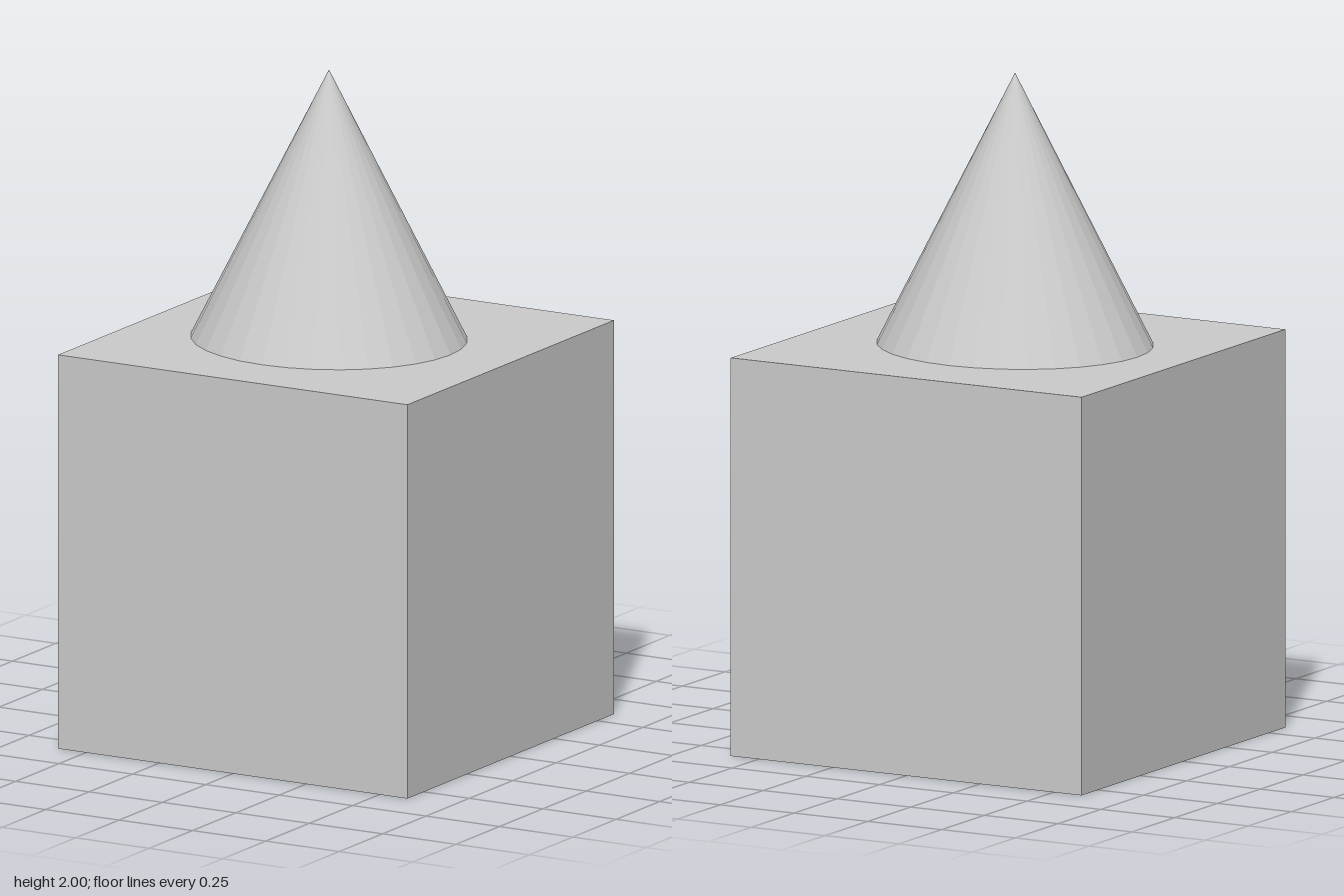
import * as THREE from 'three';

export function createModel() {
  const model = new THREE.Group();
  const material = new THREE.MeshStandardMaterial({ color: 0xcccccc, flatShading: true });
  const size = 1.19;
  const coneHeight = 2 - size;

  // Cube base
  const base = new THREE.Mesh(new THREE.BoxGeometry(size, size, size), material);
  base.name = 'base';
  base.position.y = size / 2;
  model.add(base);

  // Faceted cone on top, slightly off centre and a little narrower in depth
  const cone = new THREE.Mesh(new THREE.ConeGeometry(1, coneHeight, 32), material);
  cone.name = 'cone';
  cone.scale.set(0.414, 1, 0.385);
  cone.position.set(-0.018, size + coneHeight / 2, 0.01);
  model.add(cone);

  return model;
}
